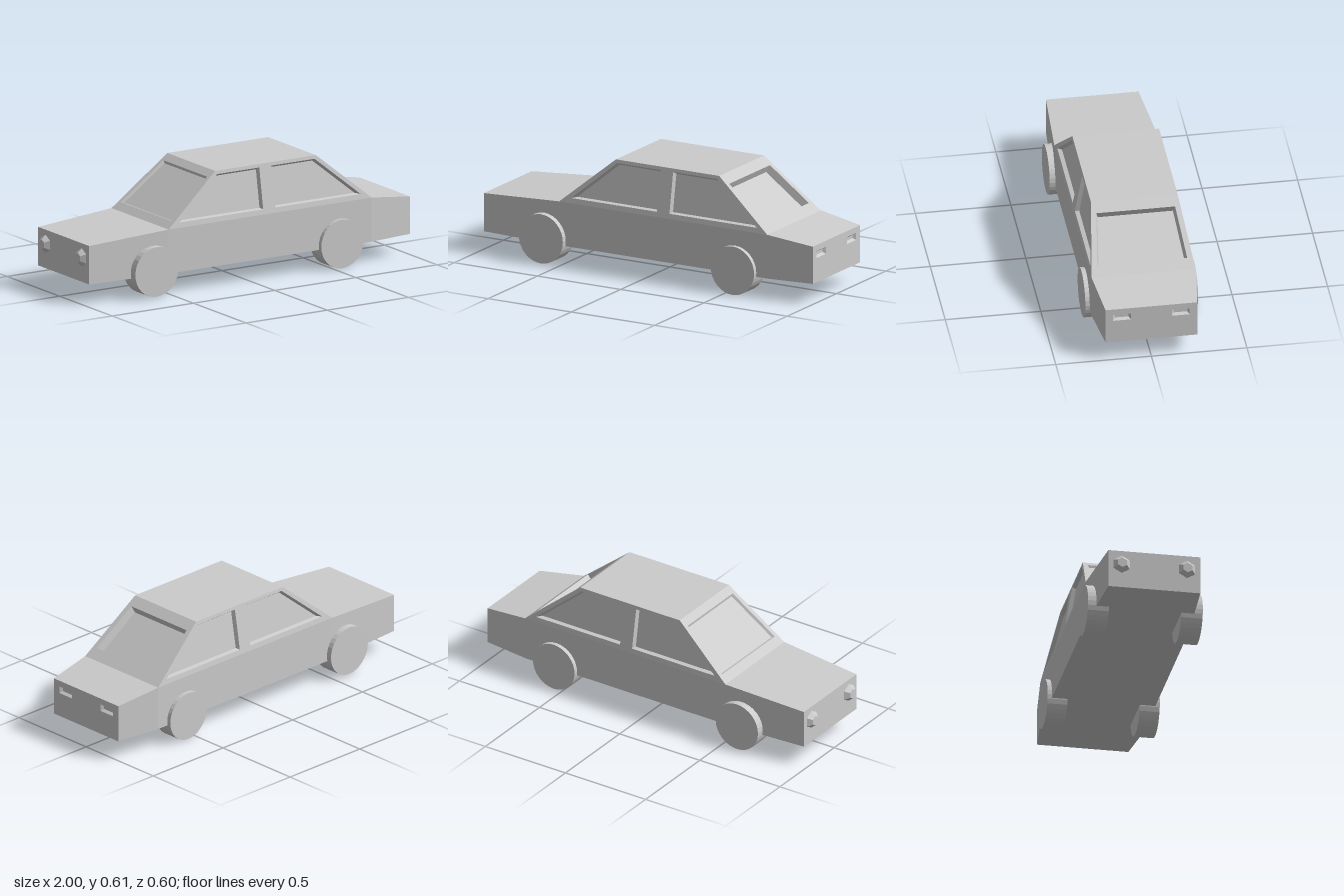
import * as THREE from 'three';

const V = (x, y, z) => new THREE.Vector3(x, y, z);
const material = new THREE.MeshStandardMaterial({ color: 0xcccccc, flatShading: true });
const mirrorZ = (pts) => pts.map((p) => V(p.x, p.y, -p.z)).reverse();

// Counter-clockwise quads become two triangles each
function addQuad(out, a, b, c, d) {
  for (const p of [a, b, c, a, c, d]) out.push(p.x, p.y, p.z);
}

function quadMesh(positions, name) {
  const g = new THREE.BufferGeometry();
  g.setAttribute('position', new THREE.Float32BufferAttribute(positions, 3));
  g.computeVertexNormals();
  const mesh = new THREE.Mesh(g, material);
  mesh.name = name;
  return mesh;
}

// Flat quad with one sunken four-sided pocket; the pocket floor goes to its own list
function addRecessed(shell, pane, outer, hole, depth, inset) {
  const normal = outer[1].clone().sub(outer[0]).cross(outer[3].clone().sub(outer[0])).normalize();
  const floor = hole.map((p, i) => {
    const e1 = hole[(i + 1) % 4].clone().sub(p).normalize();
    const e2 = hole[(i + 3) % 4].clone().sub(p).normalize();
    const t = inset / Math.sin(e1.angleTo(e2));
    return p.clone().addScaledVector(e1.add(e2), t).addScaledVector(normal, -depth);
  });
  for (let i = 0; i < 4; i++) {
    const j = (i + 1) % 4;
    addQuad(shell, outer[i], outer[j], hole[j], hole[i]);
    addQuad(shell, hole[i], hole[j], floor[j], floor[i]);
  }
  addQuad(pane, ...floor);
}

export function createModel() {
  const car = new THREE.Group();
  car.name = 'car';

  const floorY = 0.11, beltY = 0.345, roofY = 0.605;
  const beltW = 0.272, roofW = 0.227;
  const beltFront = -0.505, beltRear = 0.745, roofFront = -0.19, roofRear = 0.43;

  // Lower body stations along the length: x, top height, half width
  const stations = [
    [-0.975, 0.315, 0.242],
    [beltFront, beltY, beltW],
    [beltRear, beltY, beltW],
    [1.0, 0.31, 0.24],
  ];
  const body = [], tailLights = [];
  for (let i = 0; i < 3; i++) {
    const [x0, y0, w0] = stations[i], [x1, y1, w1] = stations[i + 1];
    const side = [V(x0, floorY, w0), V(x1, floorY, w1), V(x1, y1, w1), V(x0, y0, w0)];
    addQuad(body, ...side);
    addQuad(body, ...mirrorZ(side));
    addQuad(body, V(x0, floorY, -w0), V(x1, floorY, -w1), V(x1, floorY, w1), V(x0, floorY, w0));
    // hood and trunk lid; the middle is covered by the cabin
    if (i !== 1) addQuad(body, V(x0, y0, w0), V(x1, y1, w1), V(x1, y1, -w1), V(x0, y0, -w0));
  }
  const [nx, ny, nw] = stations[0], [tx, ty, tw] = stations[3];
  addQuad(body, V(nx, floorY, -nw), V(nx, floorY, nw), V(nx, ny, nw), V(nx, ny, -nw));

  // Tail, one half per side, each with a slot for its light
  const tailHalf = [V(tx, floorY, tw), V(tx, floorY, 0), V(tx, ty, 0), V(tx, ty, tw)];
  const slot = [V(tx, 0.24, 0.2), V(tx, 0.24, 0.107), V(tx, 0.277, 0.107), V(tx, 0.277, 0.2)];
  addRecessed(body, tailLights, tailHalf, slot, 0.015, 0.01);
  addRecessed(body, tailLights, mirrorZ(tailHalf), mirrorZ(slot), 0.015, 0.01);

  // Cabin sides lean inward; two windows per side with a pillar between
  const cabin = [], sideWindows = [], windshield = [], rearWindow = [];
  const rise = (y) => (y - beltY) / (roofY - beltY);
  const onSide = (x, y) => V(x, y, beltW + (roofW - beltW) * rise(y));
  const pillarX = 0.1175;
  const sidePanels = [
    {
      outer: [[beltFront, beltY], [pillarX, beltY], [pillarX, roofY], [roofFront, roofY]],
      hole: [[-0.435, 0.372], [0.08, 0.372], [0.08, 0.587], [-0.18, 0.587]],
    },
    {
      outer: [[pillarX, beltY], [beltRear, beltY], [roofRear, roofY], [pillarX, roofY]],
      hole: [[0.155, 0.372], [0.68, 0.372], [0.42, 0.587], [0.155, 0.587]],
    },
  ];
  for (const panel of sidePanels) {
    const outer = panel.outer.map((p) => onSide(...p));
    const hole = panel.hole.map((p) => onSide(...p));
    addRecessed(cabin, sideWindows, outer, hole, 0.02, 0.009);
    addRecessed(cabin, sideWindows, mirrorZ(outer), mirrorZ(hole), 0.02, 0.009);
  }

  // Sloping front and rear glass; s is +1 for the front, -1 for the rear
  const slope = (s, lowX, highX, yLow, yHigh, wLow, wHigh) => {
    const x = (y) => lowX + (highX - lowX) * rise(y);
    return [
      V(x(yLow), yLow, -s * wLow), V(x(yLow), yLow, s * wLow),
      V(x(yHigh), yHigh, s * wHigh), V(x(yHigh), yHigh, -s * wHigh),
    ];
  };
  addRecessed(cabin, windshield,
    slope(1, beltFront, roofFront, beltY, roofY, beltW, roofW),
    slope(1, beltFront, roofFront, 0.378, 0.575, 0.243, 0.207), 0.012, 0.008);
  addRecessed(cabin, rearWindow,
    slope(-1, beltRear, roofRear, beltY, roofY, beltW, roofW),
    slope(-1, beltRear, roofRear, 0.386, 0.565, 0.235, 0.206), 0.04, 0.01);

  // Roof
  addQuad(cabin, V(roofFront, roofY, roofW), V(roofRear, roofY, roofW),
    V(roofRear, roofY, -roofW), V(roofFront, roofY, -roofW));

  car.add(
    quadMesh(body, 'lowerBody'), quadMesh(tailLights, 'tailLights'), quadMesh(cabin, 'cabin'),
    quadMesh(sideWindows, 'sideWindows'), quadMesh(windshield, 'windshield'),
    quadMesh(rearWindow, 'rearWindow'),
  );

  // Wheels and faceted headlights, mirrored left and right
  const wheels = [
    { name: 'frontWheel', x: -0.597, y: 0.138, r: 0.132, out: 0.302 },
    { name: 'rearWheel', x: 0.55, y: 0.13, r: 0.13, out: 0.295 },
  ];
  for (const s of [1, -1]) {
    const label = s > 0 ? 'Left' : 'Right';
    for (const { name, x, y, r, out } of wheels) {
      const inner = 0.19;
      const g = new THREE.CylinderGeometry(r, r, out - inner, 32).rotateX(Math.PI / 2);
      const wheel = new THREE.Mesh(g, material);
      wheel.name = name + label;
      wheel.position.set(x, y, s * (out + inner) / 2);
      car.add(wheel);
    }
    const lampGeometry = new THREE.CylinderGeometry(0.027, 0.049, 0.025, 6)
      .rotateY(Math.PI / 2).rotateZ(Math.PI / 2);
    const lamp = new THREE.Mesh(lampGeometry, material);
    lamp.name = 'headlight' + label;
    lamp.position.set(-0.9875, 0.24, s * 0.172);
    car.add(lamp);
  }
  return car;
}
